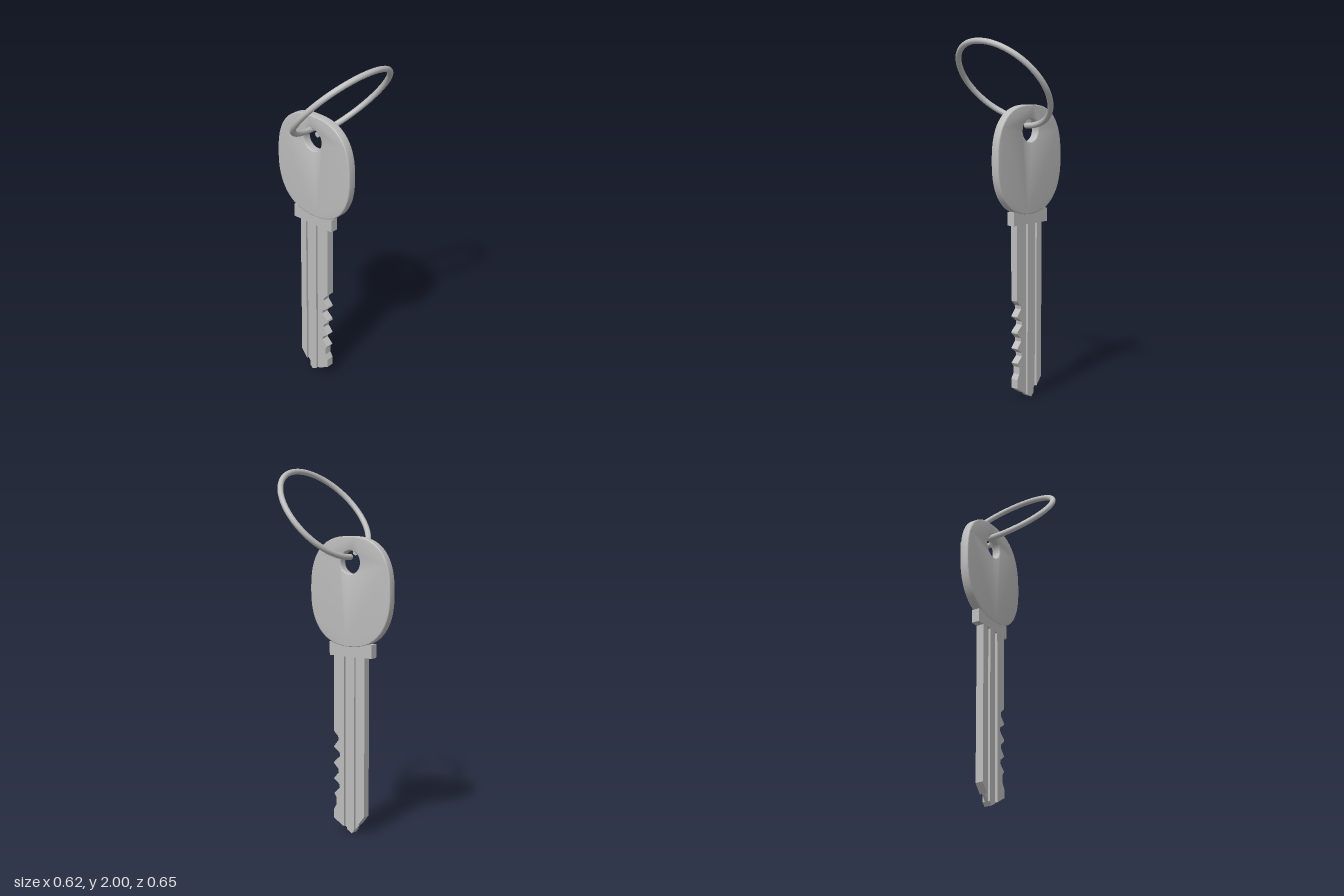
import * as THREE from 'three';
import { toCreasedNormals } from 'three/addons/utils/BufferGeometryUtils.js';

const V2 = (z, y) => new THREE.Vector2(z, y);

// Extrude a (z, y) outline symmetrically across x
function plate(shape, thickness, bevel = 0) {
  const g = new THREE.ExtrudeGeometry(shape, {
    depth: thickness - 2 * bevel, curveSegments: 40,
    bevelEnabled: bevel > 0, bevelThickness: bevel, bevelSize: bevel,
    bevelOffset: -bevel, bevelSegments: 3,
  });
  g.translate(0, 0, -thickness / 2 + bevel);
  g.rotateY(-Math.PI / 2);
  return g;
}

// One turn of wire whose two ends sit side by side along the ring axis
class SplitRingCurve extends THREE.Curve {
  constructor(radius, shift) {
    super();
    this.radius = radius;
    this.shift = shift;
  }
  getPoint(u, target = new THREE.Vector3()) {
    const t = (u * 2 - 1) * Math.PI;
    const along = this.radius * Math.cos(t);
    const off = this.shift * Math.sin(t / 2);
    return target.set(
      this.radius * Math.sin(t),
      1.762 + 0.76 * along - 0.649 * off,
      0.1215 + 0.649 * along + 0.76 * off
    );
  }
}

export function createModel() {
  const model = new THREE.Group();
  model.name = 'keyWithRing';
  const steel = new THREE.MeshStandardMaterial({ color: 0xbcbcbc });
  steel.name = 'steel';
  const add = (name, geometry, parent = model) => {
    const mesh = new THREE.Mesh(geometry, steel);
    mesh.name = name;
    parent.add(mesh);
    return mesh;
  };

  // Head: rounded-square bow with a hole
  const outline = [];
  const N = 96;
  for (let i = 0; i < N; i++) {
    const a = (i / N) * Math.PI * 2;
    const c = Math.cos(a), s = Math.sin(a);
    const p = 2 / (s > 0 ? 2.55 : 2.35);
    outline.push(V2(
      -0.0625 + 0.261 * Math.sign(c) * Math.abs(c) ** p,
      1.34 + 0.3 * Math.sign(s) * Math.abs(s) ** p
    ));
  }
  const head = new THREE.Shape(outline);
  head.holes.push(new THREE.Path().absarc(-0.065, 1.5, 0.063, 0, Math.PI * 2, true));
  add('head', toCreasedNormals(plate(head, 0.05, 0.006), 0.6));

  // Collar between head and blade
  const collar = new THREE.BoxGeometry(0.046, 0.075, 0.277);
  collar.translate(0, 1.0245, -0.0675);
  add('collar', collar);

  // Blade: thick ribs with thin strips between them as grooves
  const blade = new THREE.Group();
  blade.name = 'blade';
  model.add(blade);
  const top = 1.0;
  const apex = -0.077;
  const tipY = (z) => (z > apex
    ? 0.07 * (z - apex) / (0.043 - apex)
    : 0.105 * (apex - z) / (apex + 0.16));

  // Toothed rib: each cut dips steeply in, then slopes back out
  const teeth = [V2(-0.024, top), V2(0.043, top)];
  [[0.565, 0.012], [0.475, 0.002], [0.382, 0.011], [0.296, 0.004]].forEach(([y, z]) => {
    teeth.push(V2(0.043, y), V2(z + 0.003, y - 0.028), V2(z, y - 0.048), V2(0.041, y - 0.083));
  });
  teeth.push(V2(0.026, 0.19), V2(0.026, 0.15), V2(0.043, 0.12),
    V2(0.043, tipY(0.043)), V2(-0.024, tipY(-0.024)));
  add('toothedRib', plate(new THREE.Shape(teeth.reverse()), 0.044), blade);

  // Remaining strips: front edge, back edge, thickness
  [
    ['frontGroove', -0.024, -0.045, 0.018],
    ['middleRib', -0.045, -0.093, 0.044],
    ['backGroove', -0.093, -0.12, 0.018],
    ['backRib', -0.12, -0.16, 0.044],
  ].forEach(([name, a, b, thickness]) => {
    const pts = [V2(b, top), V2(b, tipY(b))];
    if (a > apex && b < apex) pts.push(V2(apex, 0));
    pts.push(V2(a, tipY(a)), V2(a, top));
    add(name, plate(new THREE.Shape(pts), thickness), blade);
  });

  // Split ring through the hole, with capped wire ends
  const ring = new THREE.Group();
  ring.name = 'keyRing';
  model.add(ring);
  const wire = 0.016;
  const curve = new SplitRingCurve(0.292, 0.02);
  add('ringWire', new THREE.TubeGeometry(curve, 120, wire, 14, false), ring);
  [0, 1].forEach((u) => {
    const cap = add('wireEnd', new THREE.CircleGeometry(wire, 14), ring);
    cap.rotation.y = u ? -Math.PI / 2 : Math.PI / 2;
    cap.position.copy(curve.getPoint(u));
  });

  return model;
}
